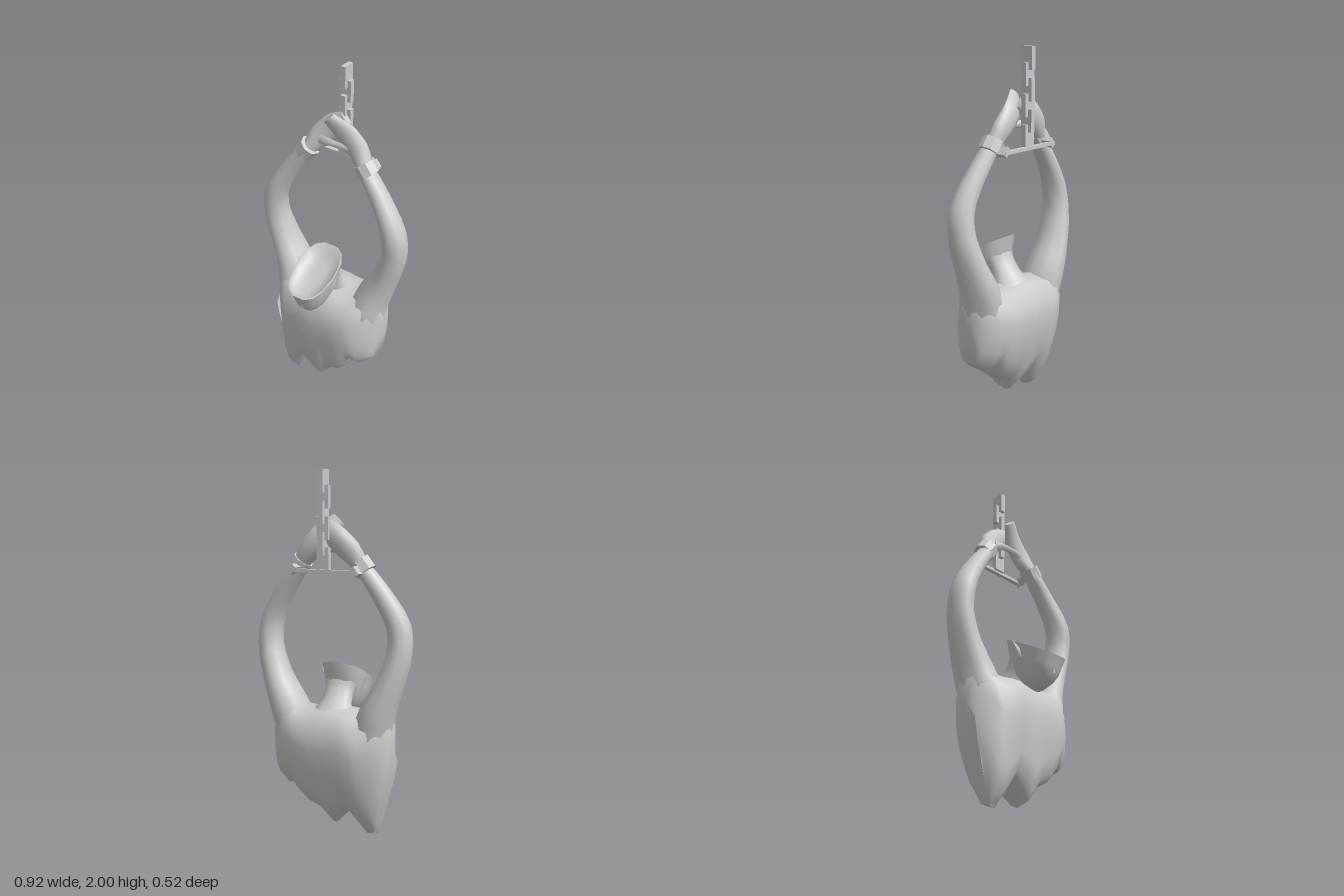
import * as THREE from 'three';
import { toCreasedNormals } from 'three/addons/utils/BufferGeometryUtils.js';

const V = (x, y, z) => new THREE.Vector3(x, y, z);
const material = new THREE.MeshStandardMaterial({ color: 0xcccccc });

function mesh(name, geometry) {
  const m = new THREE.Mesh(geometry, material);
  m.name = name;
  return m;
}

// Skin a list of rings, close both ends, and turn faces outward by signed volume
function loft(rings, crease = 1.1) {
  const n = rings[0].length, pts = rings.flat(), idx = [];
  for (let j = 0; j < rings.length - 1; j++)
    for (let i = 0; i < n; i++) {
      const a = j * n + i, b = j * n + (i + 1) % n;
      idx.push(a, b, b + n, a, b + n, a + n);
    }
  [0, rings.length - 1].forEach((j) => {
    const c = V(0, 0, 0);
    rings[j].forEach((p) => c.addScaledVector(p, 1 / n));
    const k = pts.push(c) - 1;
    for (let i = 0; i < n; i++) {
      const a = j * n + i, b = j * n + (i + 1) % n;
      if (j === 0) idx.push(k, b, a); else idx.push(k, a, b);
    }
  });
  let volume = 0;
  for (let i = 0; i < idx.length; i += 3)
    volume += pts[idx[i]].dot(V(0, 0, 0).crossVectors(pts[idx[i + 1]], pts[idx[i + 2]]));
  if (volume < 0) idx.reverse();
  const g = new THREE.BufferGeometry().setFromPoints(pts);
  g.setIndex(idx);
  return toCreasedNormals(g, crease);
}

// Tube along a curve; each station is [x, y, z, width radius, depth radius]
function limb(stations, steps, sides = 10) {
  const curve = new THREE.CatmullRomCurve3(stations.map((s) => V(s[0], s[1], s[2])));
  const rings = [];
  for (let j = 0; j <= steps; j++) {
    const u = j / steps, f = u * (stations.length - 1);
    const k = Math.min(Math.floor(f), stations.length - 2);
    const mix = (c) => THREE.MathUtils.lerp(stations[k][c], stations[k + 1][c], f - k);
    const p = curve.getPoint(u), t = curve.getTangent(u);
    const depth = V(0, 0, 1).addScaledVector(t, -t.z).normalize();
    const side = V(0, 0, 0).crossVectors(t, depth);
    rings.push(Array.from({ length: sides }, (_, i) => {
      const a = i / sides * Math.PI * 2;
      return p.clone().addScaledVector(side, Math.cos(a) * mix(3)).addScaledVector(depth, Math.sin(a) * mix(4));
    }));
  }
  return loft(rings);
}

function lookup(table, y) {
  for (let i = 0; i < table.length - 1; i++)
    if (y <= table[i + 1][0])
      return THREE.MathUtils.mapLinear(Math.max(y, table[i][0]), table[i][0], table[i + 1][0], table[i][1], table[i + 1][1]);
  return table[table.length - 1][1];
}

// Torso: upright slices across x, with a torn lower edge
function torso() {
  const front = [[0, 0.04], [0.04, 0.075], [0.15, 0.1], [0.3, 0.1], [0.5, 0.125], [0.65, 0.1], [0.75, 0.0]];
  const back = [[0, -0.055], [0.17, -0.175], [0.33, -0.225], [0.48, -0.265], [0.62, -0.265], [0.75, -0.21]];
  // x, top, bottom, and depth scale of the front and the back
  const slices = [
    [-0.35, 0.66, 0.44, 0.1, 0.38], [-0.33, 0.71, 0.33, 0.27, 0.52], [-0.3, 0.74, 0.22, 0.5, 0.68], [-0.26, 0.74, 0.08, 0.74, 0.78],
    [-0.235, 0.73, 0.005, 0.84, 0.84], [-0.2, 0.72, 0.0, 0.92, 0.92], [-0.17, 0.72, 0.05, 0.95, 0.96], [-0.11, 0.73, 0.155, 1, 1],
    [-0.05, 0.74, 0.1, 1, 1], [0, 0.74, 0.045, 1, 1], [0.03, 0.74, 0.09, 1, 1], [0.06, 0.73, 0.14, 1, 1],
    [0.13, 0.72, 0.17, 1, 1], [0.18, 0.72, 0.22, 0.95, 0.95], [0.21, 0.73, 0.28, 0.9, 0.91], [0.25, 0.74, 0.26, 0.78, 0.84],
    [0.3, 0.74, 0.295, 0.52, 0.7], [0.325, 0.71, 0.32, 0.3, 0.55], [0.345, 0.66, 0.45, 0.1, 0.38]];
  const levels = [[0.04, 0.8], [0.15, 1], [0.35, 1], [0.55, 1], [0.75, 1], [0.9, 0.88], [0.97, 0.65]];
  return loft(slices.map(([x, top, bottom, frontScale, backScale]) => {
    const core = -0.05;
    const edge = (table, scale) => levels.map(([t, k]) => {
      const y = THREE.MathUtils.lerp(top, bottom, t);
      return V(x, y, core + (lookup(table, y) - core) * scale * k);
    });
    const tipZ = x < -0.15 ? 0 : -0.04;
    return [V(x, top, -0.09), ...edge(front, frontScale), V(x, bottom, tipZ), ...edge(back, backScale).reverse()];
  }));
}

// Head: tilted oval rings from chin up to the rim, then down into the shallow hollow
function head() {
  // centre y, centre z, half width, half length in z, rise towards the front
  const rows = [
    [0.65, 0.125, 0.025, 0.03, 0.005], [0.685, 0.115, 0.06, 0.085, -0.005], [0.74, 0.1, 0.09, 0.125, -0.03],
    [0.81, 0.095, 0.112, 0.143, -0.06], [0.885, 0.1, 0.127, 0.163, -0.085],
    [0.885, 0.1, 0.118, 0.153, -0.08], [0.855, 0.095, 0.1, 0.128, -0.065], [0.84, 0.095, 0.05, 0.065, -0.035]];
  const power = (v) => Math.sign(v) * Math.abs(v) ** 0.75;
  return loft(rows.map(([y, z, w, d, rise]) => Array.from({ length: 14 }, (_, i) => {
    const a = i / 14 * Math.PI * 2, c = power(Math.cos(a)), s = power(Math.sin(a));
    return V(c * w * (s > 0 ? 1 - 0.12 * s : 1), y + s * rise, z + s * d);
  })), 0.9);
}

export function createModel() {
  const model = new THREE.Group();
  model.name = 'hangingFigure';
  model.add(mesh('torso', torso()), mesh('head', head()));

  // Neck, flaring into the shoulders and the back of the head
  model.add(mesh('neck', limb([
    [0, 0.64, -0.11, 0.15, 0.1], [0, 0.74, -0.05, 0.09, 0.07], [0, 0.81, -0.01, 0.085, 0.06], [0, 0.87, 0.02, 0.105, 0.065]], 8)));

  // Nose, tilted down with the face
  const nose = mesh('nose', new THREE.ConeGeometry(0.018, 0.06, 4));
  nose.position.set(0, 0.745, 0.222);
  nose.rotation.x = 0.25;
  model.add(nose);

  for (const s of [1, -1]) {
    const side = s > 0 ? 'left' : 'right';

    // Pointed ears
    const ear = mesh(side + 'Ear', new THREE.ConeGeometry(0.035, 0.11, 5));
    ear.scale.x = 0.6;
    ear.position.set(s * 0.122, 0.86, 0.07);
    ear.rotation.set(-0.2, 0, -s * 0.42);
    model.add(ear);

    // Arm raised from inside the shoulder over the elbow to the wrist
    model.add(mesh(side + 'Arm', limb([
      [s * 0.2, 0.46, -0.075, 0.09, 0.11], [s * 0.235, 0.6, -0.08, 0.11, 0.138], [s * 0.272, 0.72, -0.098, 0.098, 0.127],
      [s * 0.342, 0.88, -0.1, 0.075, 0.1], [s * 0.39, 1.05, -0.088, 0.068, 0.08], [s * 0.38, 1.19, -0.077, 0.065, 0.075],
      [s * 0.285, 1.36, -0.092, 0.053, 0.058], [s * 0.18, 1.5, -0.105, 0.042, 0.05]], 21)));

    // Hands crossing above, one in front of the other
    const hand = s > 0
      ? [[0.19, 1.49, -0.105, 0.04, 0.048], [0.12, 1.585, -0.125, 0.066, 0.04], [0.045, 1.66, -0.12, 0.068, 0.034], [-0.03, 1.745, -0.075, 0.04, 0.02]]
      : [[-0.19, 1.49, -0.11, 0.04, 0.048], [-0.125, 1.585, -0.145, 0.066, 0.04], [-0.05, 1.66, -0.165, 0.066, 0.034], [0.02, 1.72, -0.165, 0.04, 0.02]];
    model.add(mesh(side + 'Hand', limb(hand, 9)));
    model.add(mesh(side + 'Thumb', limb([
      [s * 0.11, 1.575, -0.12, 0.03, 0.022], [s * 0.05, 1.585, -0.105, 0.022, 0.02], [s * -0.04, 1.585, -0.1, 0.012, 0.012]], 5, 6)));

    // Wrist cuff
    const cuff = mesh(side + 'Cuff', new THREE.CylinderGeometry(0.06, 0.06, 0.07, 8).toNonIndexed());
    cuff.geometry.computeVertexNormals();
    cuff.position.set(s * 0.188, 1.5, -0.11);
    cuff.rotation.z = s * 0.66;
    model.add(cuff);

    // Lug joining the cuff to the bar
    const lug = mesh(side + 'CuffLug', new THREE.BoxGeometry(0.03, 0.05, 0.06));
    lug.position.set(s * 0.185, 1.48, -0.185);
    lug.rotation.z = s * 0.66;
    model.add(lug);
  }

  // Bar between the cuffs
  const bar = mesh('shackleBar', new THREE.BoxGeometry(0.4, 0.018, 0.025));
  bar.position.set(0, 1.476, -0.208);
  model.add(bar);

  // Chain of solid links, each turned a quarter from the last
  const chain = new THREE.Group();
  chain.name = 'chain';
  for (let i = 0; i < 6; i++) {
    const link = mesh('chainLink', new THREE.BoxGeometry(0.07, 0.12, 0.028));
    link.position.set(0, 1.54 + i * 0.08, -0.195);
    link.rotation.y = i % 2 ? Math.PI / 2 : 0;
    chain.add(link);
  }
  model.add(chain);
  return model;
}
